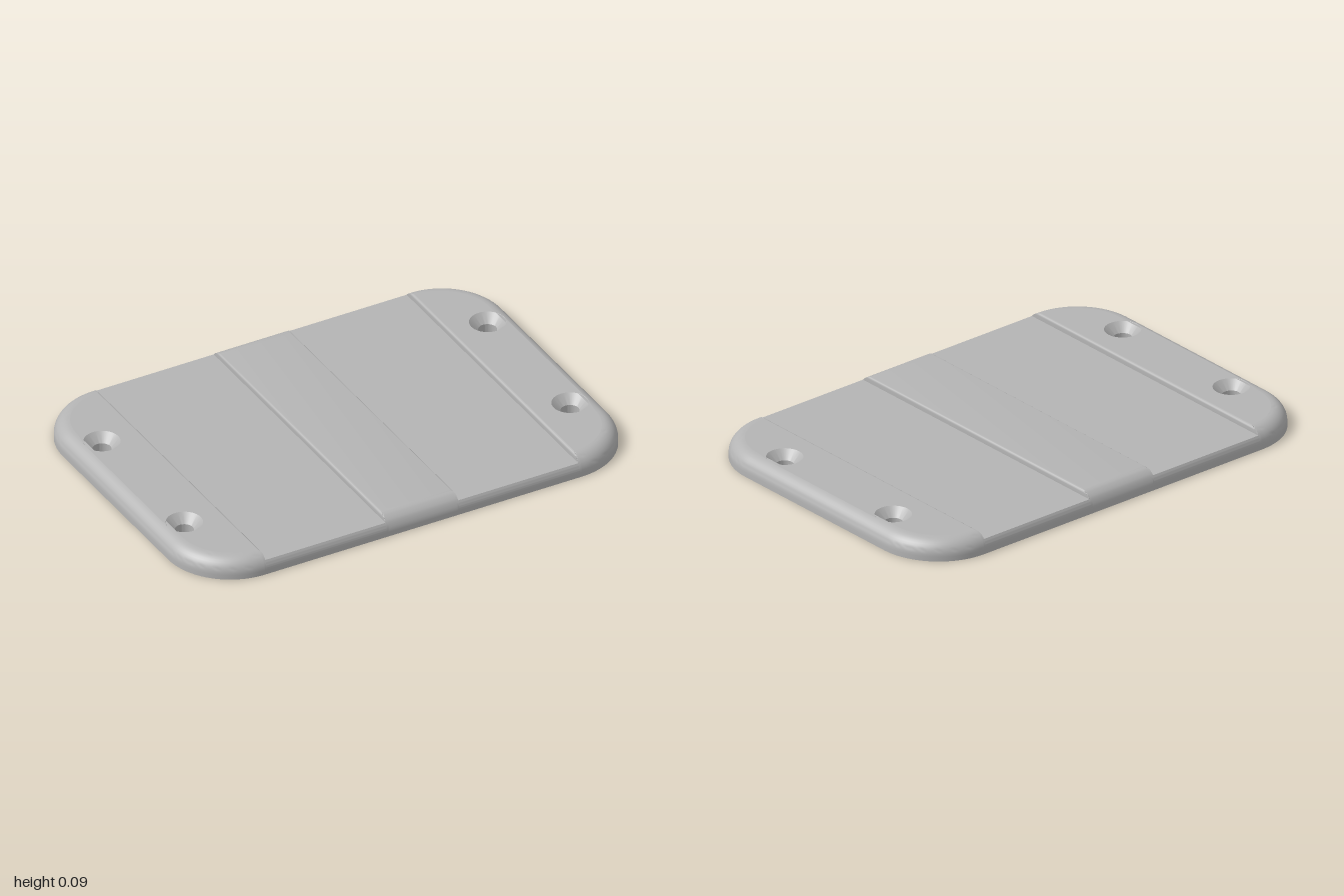
import * as THREE from 'three';
import { toCreasedNormals } from 'three/addons/utils/BufferGeometryUtils.js';

const HEIGHT = 0.085, FLOOR = 0.059;      // plate top and channel floor
const HALF_W = 0.707, CORNER_X = 0.72;    // half depth, start of the rounded corners
const CORNER_R = 0.28, FILLET = 0.065;    // plan corner radius, top edge rounding
const HOLE = { x: 0.875, z: 0.333, r: 0.038, sink: 0.074, sinkY: 0.049 };

const metal = new THREE.MeshStandardMaterial({ color: 0xb4b4b4 });
metal.name = 'grey metal';

// Surface through rows of equally many [x, y, z] points
function loft(rows) {
  const n = rows[0].length, index = [];
  for (let i = 0; i < rows.length - 1; i++) {
    for (let j = 0; j < n - 1; j++) {
      const a = i * n + j, b = a + n;
      index.push(a, b, b + 1, a, b + 1, a + 1);
    }
  }
  const g = new THREE.BufferGeometry();
  g.setAttribute('position', new THREE.Float32BufferAttribute(rows.flat(2), 3));
  g.setIndex(index);
  return toCreasedNormals(g, 0.6);
}

function addMesh(group, name, geometry) {
  const mesh = new THREE.Mesh(geometry, metal);
  mesh.name = name;
  group.add(mesh);
  return mesh;
}

// Cross-section of the plate at x, cut off at height h
function section(x, h) {
  const base = HEIGHT - FILLET, side = [[HALF_W, 0]], steps = 10;
  const max = Math.asin(Math.min(1, (h - base) / FILLET));
  for (let k = 0; k <= steps; k++) {
    const a = max * k / steps;
    side.push([HALF_W - FILLET * (1 - Math.cos(a)), base + FILLET * Math.sin(a)]);
  }
  const back = side.map(([z, y]) => [-z, y]).reverse();
  return [...side, ...back, side[0]].map(([z, y]) => [x, y, z]);
}

// Stations down a softly rounded step from the raised band into a channel
function step(x, dir) {
  const r = 0.01, out = [];
  for (let k = 0; k <= 4; k++) {
    const a = k / 4 * Math.PI / 2;
    out.push(section(x + dir * r * (Math.sin(a) - 1), HEIGHT - r * (1 - Math.cos(a))));
  }
  out.push(section(x, FLOOR));
  return out;
}

// Plan outline of one end, inset by d, as [x, z] points
function outline(d) {
  const pts = [], cz = HALF_W - CORNER_R, r = CORNER_R - d;
  for (const s of [1, -1]) {
    for (let k = 0; k <= 20; k++) {
      const a = (s > 0 ? 20 - k : k) / 20 * Math.PI / 2;
      pts.push([CORNER_X + r * Math.cos(a), s * (cz + r * Math.sin(a))]);
    }
  }
  return pts;
}

// Flat end face with two screw holes, facing up or down
function endFace(d, holeR, y, up) {
  const shape = new THREE.Shape(outline(d).map(([x, z]) => new THREE.Vector2(x, z)));
  for (const s of [1, -1]) {
    const hole = new THREE.Path();
    hole.absarc(HOLE.x, s * HOLE.z, holeR, 0, Math.PI * 2, true);
    shape.holes.push(hole);
  }
  const g = new THREE.ShapeGeometry(shape, 20);
  g.rotateX(up ? -Math.PI / 2 : Math.PI / 2);
  g.translate(0, y, 0);
  return g;
}

function makeEnd(name) {
  const end = new THREE.Group();
  end.name = name;

  // Rounded rim, from the top edge down to the base
  const levels = [];
  for (let k = 10; k >= 0; k--) {
    const a = k / 10 * Math.PI / 2;
    levels.push([FILLET * (1 - Math.cos(a)), HEIGHT - FILLET + FILLET * Math.sin(a)]);
  }
  levels.push([0, 0]);
  addMesh(end, 'roundedRim', loft(levels.map(([d, y]) => outline(d).map(([x, z]) => [x, y, z]))));
  addMesh(end, 'endTop', endFace(FILLET, HOLE.sink, HEIGHT, true));
  addMesh(end, 'endBase', endFace(0, HOLE.r, 0, false));

  // Countersunk screw holes
  const profile = [[HOLE.sink, HEIGHT], [HOLE.r, HOLE.sinkY], [HOLE.r, 0]];
  for (const s of [1, -1]) {
    const g = new THREE.LatheGeometry(profile.map((p) => new THREE.Vector2(...p)), 40);
    const hole = addMesh(end, 'screwHole', toCreasedNormals(g, 0.5));
    hole.position.set(HOLE.x, 0, s * HOLE.z);
  }
  return end;
}

export function createModel() {
  const model = new THREE.Group();
  model.name = 'mountingPlate';

  // Middle of the plate with two channels and a raised centre band
  const stations = [
    section(-CORNER_X, HEIGHT),
    ...step(-0.71, 1),
    ...step(-0.165, -1).reverse(),
    ...step(0.165, 1),
    ...step(0.71, -1).reverse(),
    section(CORNER_X, HEIGHT),
  ];
  addMesh(model, 'channelledPlate', loft(stations));

  // Rounded ends
  const left = makeEnd('leftEnd');
  const right = makeEnd('rightEnd');
  right.rotation.y = Math.PI;
  model.add(left, right);
  return model;
}
